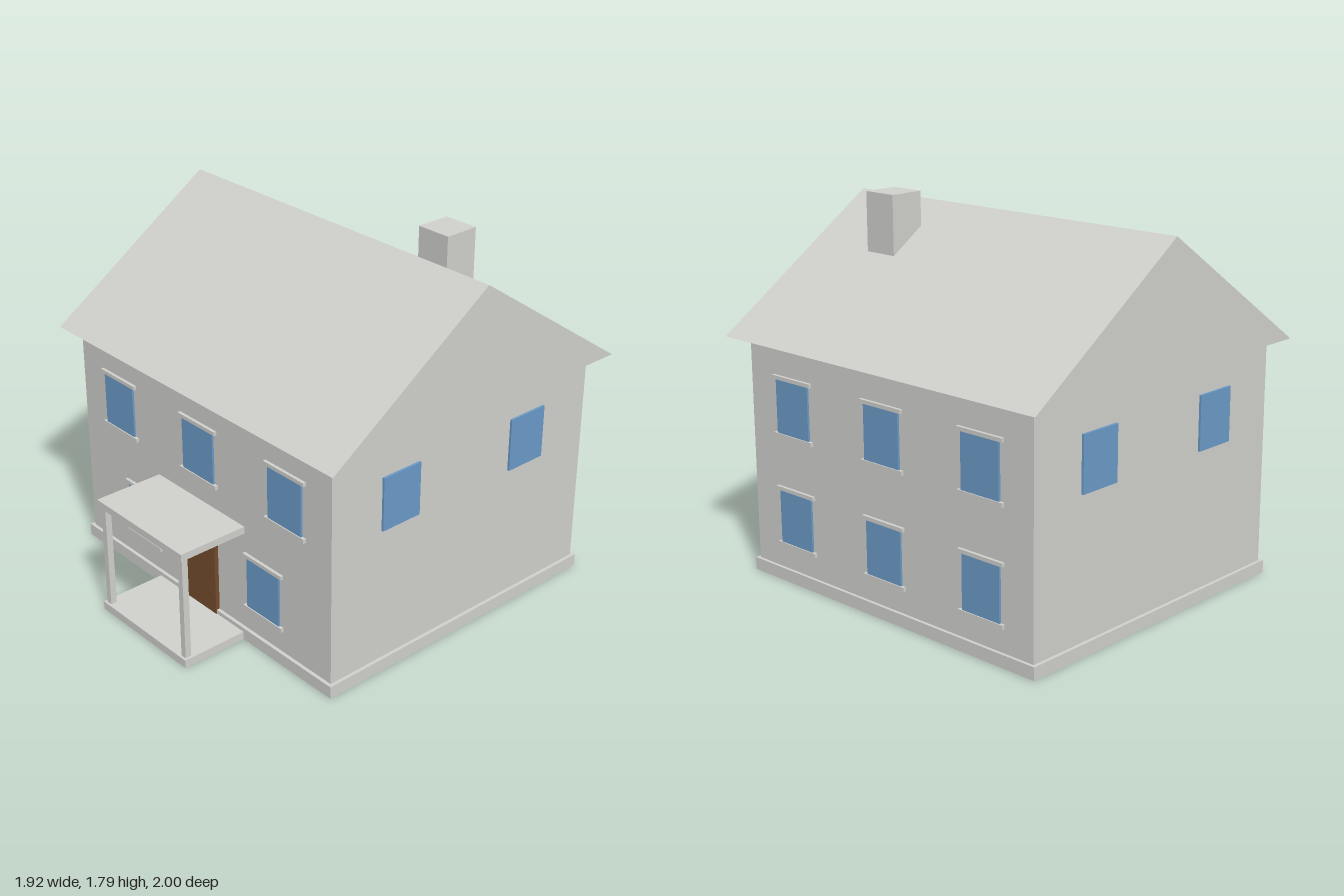
import * as THREE from 'three';

export function createModel() {
  const house = new THREE.Group();
  house.name = 'house';

  const mat = (name, color) => {
    const m = new THREE.MeshStandardMaterial({ color });
    m.name = name;
    return m;
  };
  const plaster = mat('pale grey', 0xd0d0cd);
  const glass = mat('window blue', 0x6b9bc8);
  const wood = mat('door brown', 0x734c2d);

  // Box given by its extents along each axis
  const box = (name, material, [x0, x1], [y0, y1], [z0, z1], parent = house) => {
    const mesh = new THREE.Mesh(new THREE.BoxGeometry(x1 - x0, y1 - y0, z1 - z0), material);
    mesh.position.set((x0 + x1) / 2, (y0 + y1) / 2, (z0 + z1) / 2);
    mesh.name = name;
    parent.add(mesh);
    return mesh;
  };

  // Foundation and walls
  const front = 0.65, back = -0.92, side = 0.88;
  box('foundation', plaster, [-0.897, 0.897], [0, 0.06], [-0.935, 0.667]);
  box('walls', plaster, [-side, side], [0.06, 1.14], [back, front]);

  // Solid gable roof, its triangle extruded along x
  const gable = new THREE.Shape([
    new THREE.Vector2(-0.72, 1.14),
    new THREE.Vector2(1.0, 1.14),
    new THREE.Vector2(0.14, 1.725),
  ]);
  const roofGeometry = new THREE.ExtrudeGeometry(gable, { depth: 1.92, bevelEnabled: false });
  roofGeometry.translate(0, 0, -0.96).rotateY(Math.PI / 2);
  const roof = new THREE.Mesh(roofGeometry, plaster);
  roof.name = 'roof';
  house.add(roof);

  box('chimney', plaster, [0.405, 0.58], [1.4, 1.787], [-0.458, -0.285]);

  // Window with lintel and sill, on the front (dir 1) or back (dir -1) wall
  const framedWindow = (x, y, dir) => {
    const group = new THREE.Group();
    group.name = 'window';
    const wall = dir > 0 ? front : back;
    const depth = (d) => [wall - 0.005 * dir, wall + d * dir].sort((a, b) => a - b);
    box('glass', glass, [x - 0.108, x + 0.108], [y - 0.13, y + 0.13], depth(0.01), group);
    box('lintel', plaster, [x - 0.129, x + 0.129], [y + 0.128, y + 0.146], depth(0.015), group);
    box('sill', plaster, [x - 0.129, x + 0.129], [y - 0.146, y - 0.126], depth(0.015), group);
    house.add(group);
  };
  const lower = 0.315, upper = 0.845;
  for (const x of [-0.59, 0, 0.59]) {
    framedWindow(x, upper, 1);
    framedWindow(x, upper, -1);
    framedWindow(x, lower, -1);
  }
  for (const x of [-0.44, 0.44]) framedWindow(x, lower, 1);

  // Plain windows on the side walls
  for (const z of [0.258, -0.525]) {
    for (const s of [-1, 1]) {
      const x = s * (side + 0.005);
      box('sideWindow', glass, [x - 0.006, x + 0.006], [0.717, 0.975], [z - 0.108, z + 0.108]);
    }
  }

  // Front door and porch
  box('door', wood, [-0.117, 0.117], [0.04, 0.437], [0.645, 0.671]);
  const porch = new THREE.Group();
  porch.name = 'porch';
  house.add(porch);
  box('porchFloor', plaster, [-0.31, 0.31], [0, 0.04], [0.645, 1], porch);
  box('porchRoof', plaster, [-0.31, 0.31], [0.555, 0.59], [0.645, 1], porch);
  for (const x of [-0.283, 0.283]) {
    box('porchPost', plaster, [x - 0.015, x + 0.015], [0.04, 0.555], [0.957, 0.988], porch);
  }

  return house;
}
